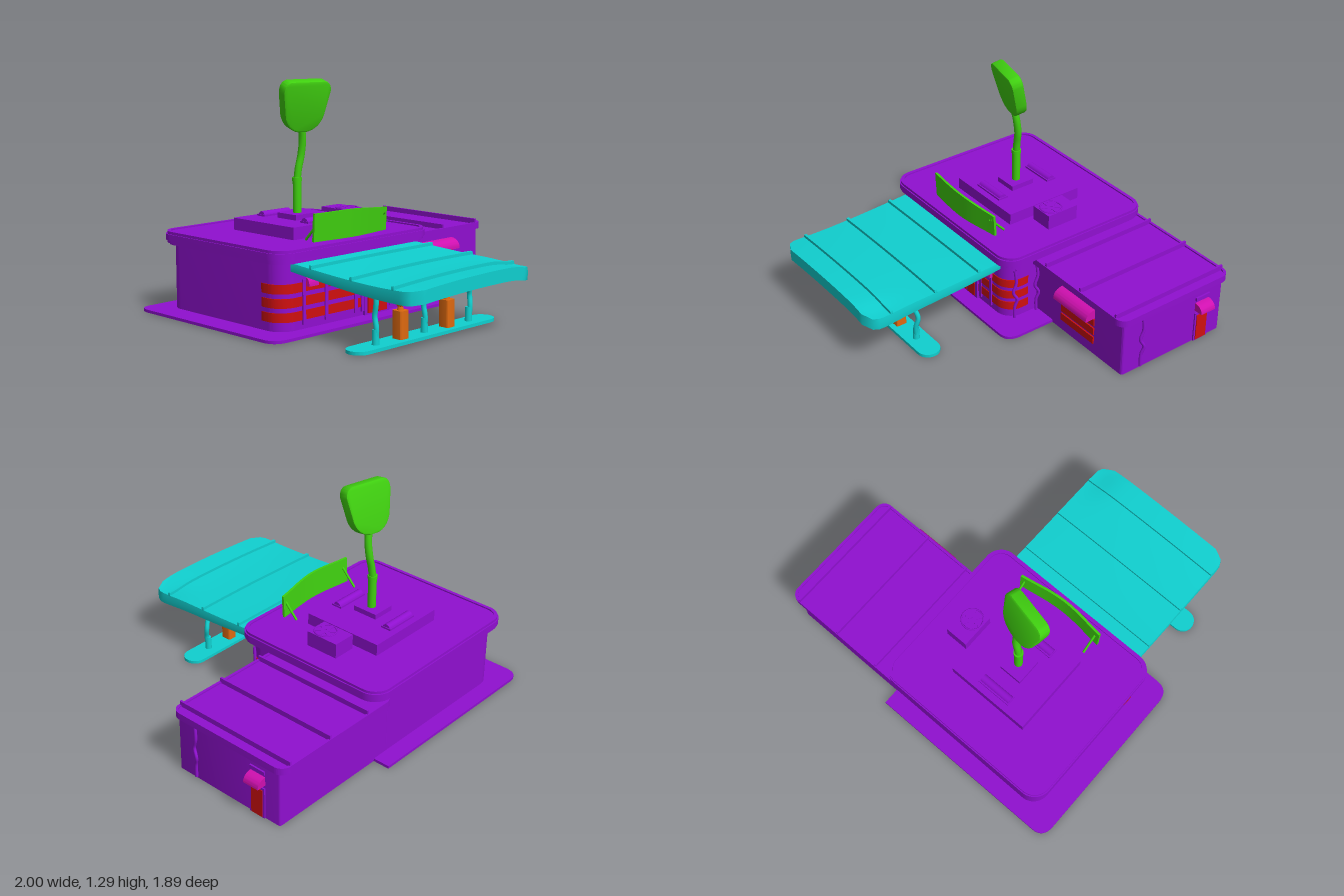
import * as THREE from 'three';
import { toCreasedNormals } from 'three/addons/utils/BufferGeometryUtils.js';

const mat = (color) => new THREE.MeshStandardMaterial({ color, side: THREE.DoubleSide });
const V = (x, y, z) => new THREE.Vector3(x, y, z);

// Plan outline with rounded corners (shape y = -z)
function plan(x0, x1, z0, z1, r, Type = THREE.Shape) {
  const s = new Type(), h = Math.PI / 2;
  s.absarc(x1 - r, -z0 - r, r, 0, h);
  s.absarc(x0 + r, -z0 - r, r, h, 2 * h);
  s.absarc(x0 + r, -z1 + r, r, 2 * h, 3 * h);
  s.absarc(x1 - r, -z1 + r, r, 3 * h, 4 * h);
  s.closePath();
  return s;
}
function raise(shape, y0, y1) {
  const g = new THREE.ExtrudeGeometry(shape, { depth: y1 - y0, bevelEnabled: false, curveSegments: 8 });
  g.rotateX(-Math.PI / 2).translate(0, y0, 0);
  return toCreasedNormals(g, 0.6);
}
const slab = (x0, x1, z0, z1, r, y0, y1) => raise(plan(x0, x1, z0, z1, r), y0, y1);
function rim(x0, x1, z0, z1, r, w, y0, y1) {
  const s = plan(x0, x1, z0, z1, r);
  s.holes.push(plan(x0 + w, x1 - w, z0 + w, z1 - w, r - w, THREE.Path));
  return raise(s, y0, y1);
}
// Box from its limits
const block = (x0, x1, y0, y1, z0, z1) =>
  new THREE.BoxGeometry(x1 - x0, y1 - y0, z1 - z0).translate((x0 + x1) / 2, (y0 + y1) / 2, (z0 + z1) / 2);
const tube = (pts, r) => new THREE.TubeGeometry(new THREE.CatmullRomCurve3(pts), 24, r, 10);
// Quarter-round hood: projects along +x, runs along +z
function hood(out, h, len) {
  const s = new THREE.Shape();
  s.moveTo(0, 0);
  s.lineTo(out, 0);
  s.quadraticCurveTo(out, h * 0.9, 0, h);
  s.closePath();
  return toCreasedNormals(new THREE.ExtrudeGeometry(s, { depth: len, bevelEnabled: false }), 0.6);
}
// Sagging canopy: mid height and thickness over x, z
function canopyY(x, z) {
  const t = (z - 0.08) / 0.86, u = (x + 0.325) / 0.465;
  const dent = 0.02 * Math.exp(-(((x - 0.12) / 0.1) ** 2 + ((z - 0.88) / 0.15) ** 2));
  return 0.355 - 0.04 * Math.sin(Math.min(1, t * 1.15) * Math.PI / 2)
    + t * (0.014 * (1 - u * u) + 0.008 * u) + 0.012 * Math.max(0, t - 0.7) - dent;
}
const canopyT = (z) => 0.045 + 0.025 * (z - 0.08) / 0.86;
function canopyPanel(w, z0, z1, nz, lift, thick) {
  const g = new THREE.BoxGeometry(w, 1, z1 - z0, 28, 2, nz).translate(0, 0, (z0 + z1) / 2);
  const p = g.attributes.position, r = 0.08;
  for (let i = 0; i < p.count; i++) {
    let x = p.getX(i), z = p.getZ(i);
    const d = Math.max(0, z - (0.94 - r));
    x *= 1 - (r - Math.sqrt(Math.max(0, r * r - d * d))) / 0.465;
    x -= 0.325;
    const edge = Math.abs(p.getY(i)) > 0.4 ? 0.992 : 1;
    const y = canopyY(x, z) + lift * canopyT(z) + p.getY(i) * (thick || canopyT(z));
    p.setXYZ(i, -0.325 + (x + 0.325) * edge, y, z);
  }
  return toCreasedNormals(g, 0.7);
}

export function createModel() {
  const root = new THREE.Group();
  const purple = mat(0x9010d0), green = mat(0x40d010), cyan = mat(0x10d0d0);
  const red = mat(0xd01010), pink = mat(0xd010b0), orange = mat(0xe06a10);
  const add = (name, geo, m) => {
    const mesh = new THREE.Mesh(geo, m);
    mesh.name = name;
    root.add(mesh);
    return mesh;
  };

  // Ground slab, notched behind the garage
  const ground = new THREE.Shape();
  ground.moveTo(0.21, 0.95);
  ground.lineTo(-0.92, 0.95);
  ground.quadraticCurveTo(-1, 0.95, -1, 0.86);
  ground.lineTo(-1, -0.1);
  ground.quadraticCurveTo(-1, -0.19, -0.91, -0.19);
  ground.lineTo(0.27, -0.19);
  ground.quadraticCurveTo(0.35, -0.19, 0.35, -0.1);
  ground.lineTo(0.35, 0.8);
  ground.lineTo(0.21, 0.8);
  ground.closePath();
  add('groundSlab', raise(ground, 0, 0.016), purple);

  // Main building with stepped fascia and roof rim
  add('mainWalls', slab(-0.86, 0.2, -0.85, 0.08, 0.1, 0.01, 0.4), purple);
  add('fasciaLower', slab(-0.88, 0.235, -0.875, 0.105, 0.1, 0.375, 0.39), purple);
  add('fascia', slab(-0.89, 0.245, -0.885, 0.115, 0.1, 0.385, 0.442), purple);
  add('fasciaBand', rim(-0.897, 0.252, -0.892, 0.122, 0.105, 0.02, 0.4, 0.435), purple);
  add('roofRim', rim(-0.89, 0.245, -0.885, 0.115, 0.1, 0.02, 0.435, 0.45), purple);

  // Window bands wrapping the front corners, with mullions
  [[0.065, 0.115], [0.14, 0.19], [0.215, 0.265]].forEach(([a, b]) =>
    add('windowBand', slab(-0.864, 0.204, -0.14, 0.084, 0.1, a, b), red));
  for (const x of [-0.7, -0.54, -0.32, -0.27, -0.05, 0.05])
    add('mullion', block(x - 0.01, x + 0.01, 0.04, 0.28, 0.07, 0.09), purple);
  add('doorFrame', block(-0.26, -0.07, 0.01, 0.2, 0.07, 0.095), purple);
  for (const x of [-0.205, -0.125])
    add('frontDoor', block(x - 0.034, x + 0.034, 0.025, 0.18, 0.08, 0.1), red);
  for (let i = 0; i < 7; i++) {
    const g = hood(0.025, 0.045, 0.07).rotateY(-Math.PI / 2);
    add('windowHood', g.translate(-0.61 + i * 0.113, 0.24, 0.08), pink);
  }

  // Garage wing
  add('garageWalls', slab(0.1, 0.945, -0.85, -0.13, 0.015, 0, 0.34), purple);
  add('garageRoof', slab(0.1, 0.965, -0.885, -0.1, 0.06, 0.33, 0.362), purple);
  add('garageRoofRim', rim(0.1, 0.965, -0.885, -0.1, 0.06, 0.015, 0.36, 0.37), purple);
  for (const x of [0.31, 0.605, 0.9])
    add('garageRoofRib', block(x - 0.006, x + 0.006, 0.355, 0.392, -0.88, -0.105), purple);
  for (let i = 0; i < 3; i++)
    add('garageWindow', block(0.43, 0.71, 0.07 + i * 0.06, 0.115 + i * 0.06, -0.14, -0.122), red);
  add('garageHood', hood(0.065, 0.06, 0.28).rotateY(-Math.PI / 2).translate(0.71, 0.24, -0.13), pink);

  // Side door
  add('sideDoorFrame', block(0.94, 0.953, 0, 0.185, -0.75, -0.65), purple);
  add('sideDoor', block(0.94, 0.957, 0.005, 0.17, -0.738, -0.662), red);
  add('sideDoorHood', hood(0.055, 0.05, 0.1).translate(0.945, 0.205, -0.75), pink);
  add('sideDoorLintel', block(0.94, 0.955, 0.27, 0.29, -0.75, -0.65), purple);

  // Crooked drainpipes
  for (const [x, z] of [[0.215, -0.115], [0.95, -0.26], [0.205, 0.03]])
    add('drainpipe', tube([V(x, 0.01, z), V(x, 0.09, z), V(x + 0.008, 0.14, z - 0.012),
      V(x, 0.19, z + 0.01), V(x + 0.004, 0.25, z - 0.006), V(x, 0.34, z)], 0.009), purple);

  // Canopy with ribs and underside beams
  add('canopy', canopyPanel(0.93, 0.08, 0.94, 28, 0, 0), cyan);
  for (const z of [0.225, 0.515, 0.8])
    add('canopyRib', canopyPanel(0.925, z - 0.008, z + 0.008, 1, 0.5, 0.035), cyan);
  for (const x of [-0.68, -0.32, 0.03])
    add('canopyBeam', block(x - 0.012, x + 0.012, 0.295, 0.325, 0.08, 0.6), cyan);

  // Pump island, columns and pumps
  add('island', slab(-0.86, 0.21, 0.515, 0.65, 0.0674, 0, 0.018), cyan);
  [-0.68, -0.32, 0.03].forEach((x, i) => {
    const b = i === 2 ? 0.016 : 0.002;
    add('canopyColumn', tube([V(x, 0.01, 0.585), V(x + b / 2, 0.1, 0.59), V(x + b, 0.16, 0.578),
      V(x - b / 2, 0.23, 0.59), V(x - b, 0.32, 0.585)], 0.014), cyan);
    add('columnFoot', new THREE.CylinderGeometry(0.017, 0.02, 0.08, 12).translate(x, 0.055, 0.585), cyan);
  });
  for (const x of [-0.5, -0.145]) {
    add('pumpBody', slab(x - 0.03, x + 0.03, 0.552, 0.618, 0.01, 0.015, 0.165), orange);
    add('pumpNeck', new THREE.CylinderGeometry(0.013, 0.018, 0.025, 12).translate(x, 0.175, 0.585), orange);
    add('pumpGlobe', new THREE.SphereGeometry(0.024, 16, 12).translate(x, 0.203, 0.585), orange);
  }

  // Roof podium, vents and post footing
  add('roofPodium', block(-0.57, -0.06, 0.44, 0.51, -0.63, -0.135), purple);
  add('postFooting', block(-0.4, -0.26, 0.5, 0.54, -0.455, -0.3), purple);
  for (const z of [-0.56, -0.205]) {
    add('ventBase', block(-0.43, -0.22, 0.505, 0.52, z - 0.032, z + 0.032), purple);
    add('ventHood', new THREE.CylinderGeometry(0.025, 0.025, 0.2, 14).rotateZ(Math.PI / 2)
      .translate(-0.325, 0.513, z), purple);
  }

  // Cooling unit with fan
  add('coolingUnit', block(-0.03, 0.11, 0.44, 0.53, -0.485, -0.28), purple);
  add('fanRing', new THREE.TorusGeometry(0.062, 0.005, 6, 24).rotateX(Math.PI / 2).translate(0.04, 0.531, -0.35), purple);
  for (let i = 0; i < 6; i++) {
    const blade = add('fanBlade', new THREE.BoxGeometry(0.05, 0.003, 0.022).translate(0.033, 0, 0), purple);
    blade.position.set(0.04, 0.532, -0.35);
    blade.rotation.y = i * Math.PI / 3;
  }

  // Warped billboard with back struts
  const board = new THREE.BoxGeometry(0.56, 0.155, 0.014, 20, 4, 1);
  const bp = board.attributes.position;
  for (let i = 0; i < bp.count; i++) {
    const u = bp.getX(i) / 0.28, k = bp.getY(i) / 0.155 + 0.5;
    bp.setXYZ(i, bp.getX(i) - 0.29, 0.45 + k * (0.147 - 0.012 * u + 0.006 * Math.cos(u * 3)),
      bp.getZ(i) + 0.028 + 0.017 * Math.cos(u * 2.4) - 0.006 * u + 0.008 * (k - 0.5));
  }
  add('billboard', toCreasedNormals(board, 0.6), green);
  for (const x of [-0.54, -0.035])
    add('billboardStrut', tube([V(x, 0.55, 0.025), V(x, 0.5, -0.022), V(x, 0.45, -0.07)], 0.007), green);

  // Crooked post and sign head
  add('signPost', new THREE.CylinderGeometry(0.024, 0.024, 0.24, 16).translate(-0.322, 0.61, -0.375), green);
  add('postCollar', new THREE.CylinderGeometry(0.028, 0.028, 0.02, 16).translate(-0.322, 0.728, -0.375), green);
  add('postNeck', tube([V(-0.322, 0.72, -0.375), V(-0.313, 0.79, -0.372), V(-0.298, 0.86, -0.367),
    V(-0.297, 0.95, -0.355), V(-0.315, 1.04, -0.345)], 0.021), green);
  const s = new THREE.Shape();
  s.moveTo(-0.1, 0.135);
  s.lineTo(0.1, 0.135);
  s.quadraticCurveTo(0.14, 0.13, 0.14, 0.085);
  s.lineTo(0.115, -0.05);
  s.quadraticCurveTo(0.095, -0.125, 0.02, -0.14);
  s.lineTo(-0.03, -0.14);
  s.quadraticCurveTo(-0.09, -0.13, -0.115, -0.06);
  s.lineTo(-0.14, 0.07);
  s.quadraticCurveTo(-0.145, 0.13, -0.1, 0.135);
  const headGeo = new THREE.ExtrudeGeometry(s, { depth: 0.05, bevelThickness: 0.01, bevelSize: 0.008, bevelSegments: 2 });
  const head = add('signHead', toCreasedNormals(headGeo.translate(0, 0, -0.025), 0.6), green);
  head.position.set(-0.315, 1.142, -0.325);
  head.rotation.set(0.24, -0.22, 0, 'YXZ');
  return root;
}
